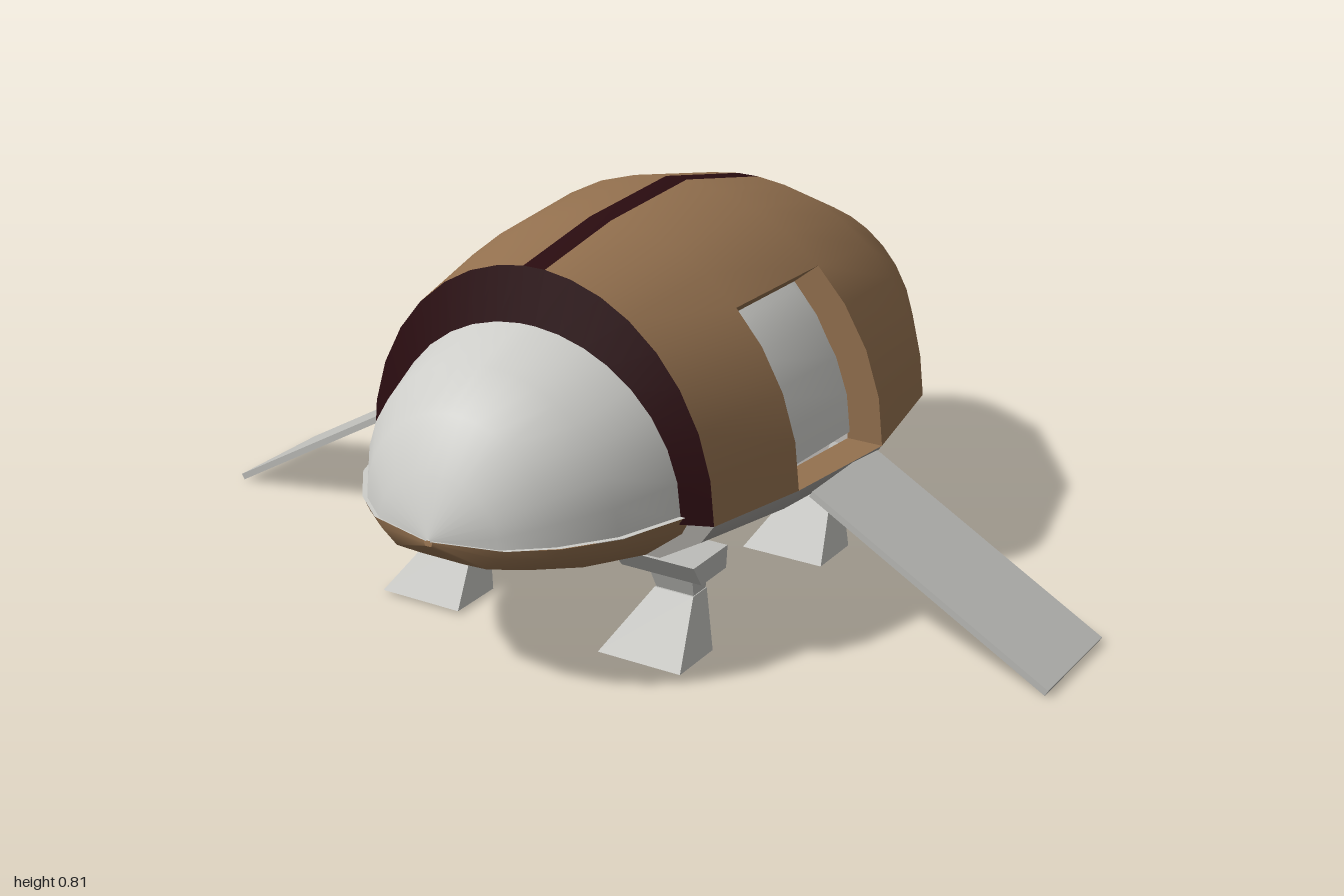
import * as THREE from 'three';

const mat = (name, color, side = THREE.FrontSide) => {
  const m = new THREE.MeshStandardMaterial({ color, side });
  m.name = name;
  return m;
};

// Skins a list of cross-sections; pick(i, j) gives the material index of a cell, or -1 for a hole
function loft(rings, pick = () => 0) {
  const n = rings[0].length, lists = [[], [], []];
  for (let i = 0; i < rings.length - 1; i++) {
    for (let j = 0; j < n - 1; j++) {
      const k = pick(i, j);
      if (k < 0) continue;
      const a = i * n + j, b = a + 1, d = a + n, c = d + 1;
      lists[k].push(a, d, b, d, c, b);
    }
  }
  const g = new THREE.BufferGeometry();
  g.setAttribute('position', new THREE.Float32BufferAttribute(rings.flat(2), 3));
  g.setIndex(lists.flat());
  let start = 0;
  lists.forEach((l, k) => { if (l.length) g.addGroup(start, l.length, k); start += l.length; });
  g.computeVertexNormals();
  return g;
}

// Block whose bottom and top are rectangles [halfWidth, zBack, zFront, y]
function taperedBlock(bottom, top) {
  const g = new THREE.BoxGeometry(1, 1, 1).toNonIndexed(), p = g.attributes.position;
  for (let i = 0; i < p.count; i++) {
    const [w, z0, z1, y] = p.getY(i) > 0 ? top : bottom;
    p.setXYZ(i, Math.sign(p.getX(i)) * w, y, p.getZ(i) > 0 ? z1 : z0);
  }
  g.computeVertexNormals();
  return g;
}

export function createModel() {
  const D = THREE.DoubleSide;
  const brown = mat('brown shell', 0x94714f, D);
  const dark = mat('dark trim', 0x2a0c10, D);
  const pale = mat('pale capsule', 0xcdcdc9, D);
  const hullGrey = mat('hull grey', 0xa3a09c, D);
  const metal = mat('metal grey', 0xbdbdb9);

  const model = new THREE.Group();
  const add = (name, geometry, material, parent = model) => {
    const m = new THREE.Mesh(geometry, material);
    m.name = name;
    parent.add(m);
    return m;
  };

  // Arched cross-section from the left edge over the top to the right edge
  const angles = [0, 12, 24, 36, 47, 58, 68, 78, 87, 93, 102, 112, 122, 133, 144, 156, 168, 180];
  const arch = ([z, w, top], base, seam = 0) => angles.map((deg) => {
    const t = deg * Math.PI / 180;
    let x = w * Math.cos(t);
    if (seam && Math.abs(deg - 90) < 4) x = Math.sign(x) * Math.min(seam, w * 0.6);
    return [x, base + (top - base) * Math.sin(t), z];
  });

  // Shell with a dark centre seam and a doorway on each side: [z, half width, top]
  const stations = [[0.475, 0.405, 0.765], [0.24, 0.46, 0.80], [-0.05, 0.495, 0.81], [-0.35, 0.44, 0.74],
    [-0.65, 0.27, 0.60], [-0.79, 0.125, 0.47], [-0.84, 0.03, 0.36]];
  const base = 0.315;
  const shellRings = stations.map((s) => arch(s, base, 0.025));
  const isDoor = (i, j) => i === 1 && (j < 4 || j > 12);
  add('shell', loft(shellRings, (i, j) => (isDoor(i, j) ? -1 : j === 8 ? 1 : 0)), [brown, dark]);
  add('frontRim', loft([arch([0.502, 0.34, 0.655], base), shellRings[0].map((p) => [...p])]), dark);

  // Door frames, turned in from the edge of each doorway
  const inward = ([x, y, z]) => [x * 0.84, base + (y - base) * 0.88, z];
  for (const [side, from, to] of [['left', 0, 4], ['right', 13, 17]]) {
    const f = shellRings[1].slice(from, to + 1), b = shellRings[2].slice(from, to + 1);
    const loop = side === 'left' ? [...f, ...b.reverse(), f[0]] : [...f.reverse(), ...b, f[0]];
    // Each face keeps its own corners so the frame stays crisp
    for (let k = 0; k < loop.length - 1; k++) {
      const edge = [loop[k], loop[k + 1]];
      add(side + 'DoorFrame', loft([edge, edge.map(inward)]), brown);
    }
  }

  // Inner capsule: the cabin lining behind the doors and the cockpit dome in front
  const nose = [[0.84, 0.005, 0.335], [0.805, 0.14, 0.45], [0.74, 0.22, 0.55], [0.64, 0.295, 0.615], [0.50, 0.345, 0.657]];
  const cabin = [[0.24, 0.405, 0.715], [-0.05, 0.42, 0.72], [-0.3, 0.32, 0.6], [-0.5, 0.02, 0.36]];
  add('cockpitDome', loft([...nose, ...cabin].map((s) => arch(s, 0.33))), pale);
  add('cockpitSill', loft(nose.map(([z, w]) => [[w + 0.012, 0.332, z], [-w - 0.012, 0.332, z]])), pale);

  // Shallow pan below the rim: [z, half width, bottom]
  const pan = ([z, w, y], rim) => [[-1, 0], [-0.93, 0.4], [-0.7, 0.95], [-0.35, 1], [0, 1],
    [0.35, 1], [0.7, 0.95], [0.93, 0.4], [1, 0]].map(([u, v]) => [u * w, rim + (y - rim) * v, z]);
  const depths = [0.215, 0.2, 0.2, 0.215, 0.25, 0.272, 0.28];
  const panRings = stations.map(([z, w], i) => pan([z, w, depths[i]], base));
  add('hullPan', loft(panRings), hullGrey);
  add('panFrontWall', loft([panRings[0].map(([x, , z]) => [x, base, z]), panRings[0].map((p) => [...p])]), hullGrey);
  add('nosePan', loft([[0.84, 0.01, 0.32], [0.80, 0.15, 0.28], [0.74, 0.23, 0.268], [0.64, 0.305, 0.245], [0.47, 0.36, 0.212]]
    .map((s) => pan(s, 0.33))), brown);

  // Tail edge closing the shell and pan
  add('tailCap', new THREE.BoxGeometry(0.05, 0.06, 0.008).translate(0, 0.315, -0.836), brown);

  // Belly bulge
  const belly = add('belly', new THREE.CylinderGeometry(1, 0.62, 0.1, 20), hullGrey);
  belly.scale.set(0.35, 1, 0.46);
  belly.position.set(0, 0.175, 0.035);

  // Four bent legs
  for (const x of [-0.265, 0.265]) {
    for (const [row, z] of [['front', 0], ['rear', -0.575]]) {
      const leg = new THREE.Group();
      leg.name = row + (x > 0 ? 'Left' : 'Right') + 'Leg';
      leg.position.set(x, 0, z);
      add('hip', taperedBlock([0.092, 0.345, 0.44, 0.165], [0.095, 0.345, 0.475, 0.215]), metal, leg);
      add('shin', taperedBlock([0.042, 0.34, 0.385, 0.1], [0.052, 0.35, 0.41, 0.168]), metal, leg);
      add('foot', taperedBlock([0.095, 0.4, 0.525, 0.008], [0.045, 0.34, 0.392, 0.108]), metal, leg);
      model.add(leg);
    }
  }

  // Boarding ramps sloping down from each doorway
  for (const s of [-1, 1]) {
    const run = 0.52, drop = 0.297;
    const ramp = add(s > 0 ? 'leftRamp' : 'rightRamp',
      new THREE.BoxGeometry(Math.hypot(run, drop), 0.014, 0.265), metal);
    ramp.position.set(s * 0.736, 0.156, 0.088);
    ramp.rotation.z = -s * Math.atan2(drop, run);
  }
  return model;
}
